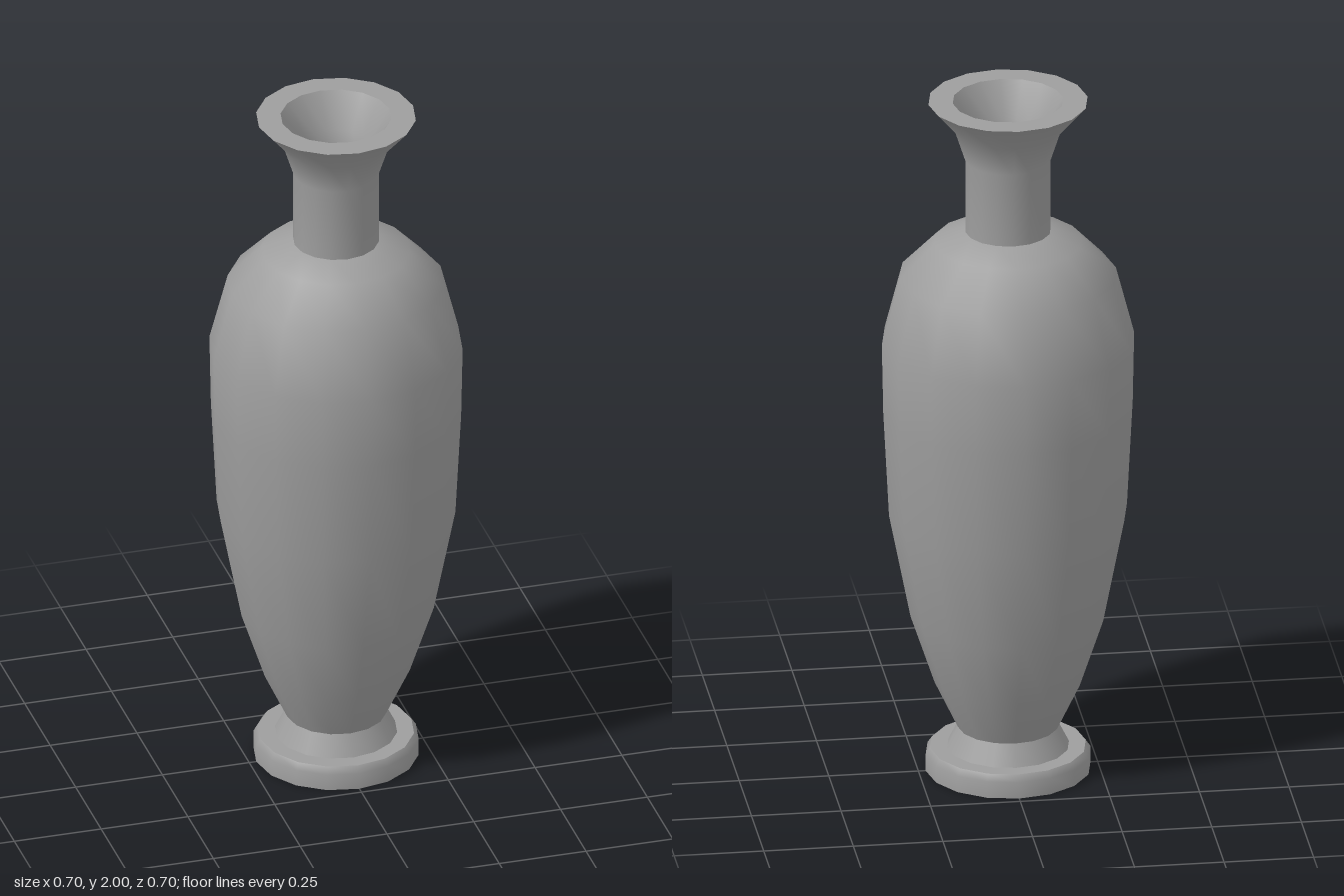
import * as THREE from 'three';

const SIDES = 16;

export function createModel() {
  const vase = new THREE.Group();
  vase.name = 'vase';
  const material = new THREE.MeshStandardMaterial({ color: 0x9e9e9e });

  // Each [radius, height] profile is smooth; separate profiles meet in a sharp edge.
  // Together they run up the outside, over the lip and down the inside.
  const turn = (name, profile) => {
    const points = profile.map(([r, y]) => new THREE.Vector2(r, y));
    const mesh = new THREE.Mesh(new THREE.LatheGeometry(points, SIDES), material);
    mesh.name = name;
    vase.add(mesh);
  };

  // Foot
  turn('footBottom', [[0, 0], [0.23, 0]]);
  turn('footEdge', [[0.23, 0], [0.23, 0.048], [0.217, 0.067]]);
  turn('footTop', [[0.217, 0.067], [0.17, 0.067]]);
  turn('footCollar', [[0.17, 0.067], [0.14, 0.127]]);

  // Body
  turn('body', [
    [0.14, 0.127], [0.205, 0.265], [0.272, 0.466], [0.332, 0.772], [0.348, 1.08],
    [0.352, 1.285], [0.301, 1.482], [0.206, 1.58], [0.119, 1.612],
  ]);

  // Neck and flared lip
  turn('neck', [[0.119, 1.612], [0.119, 1.826], [0.148, 1.915], [0.222, 2]]);
  turn('lipTop', [[0.222, 2], [0.154, 2]]);

  // Hollow inside
  turn('throat', [[0.154, 2], [0.095, 1.905], [0.08, 1.826], [0.08, 1.58]]);
  turn('innerWall', [
    [0.08, 1.58], [0.18, 1.54], [0.265, 1.46], [0.312, 1.275], [0.307, 1.08],
    [0.29, 0.78], [0.23, 0.48], [0.165, 0.285], [0.12, 0.19],
  ]);
  turn('innerFloor', [[0.12, 0.19], [0, 0.19]]);

  return vase;
}
